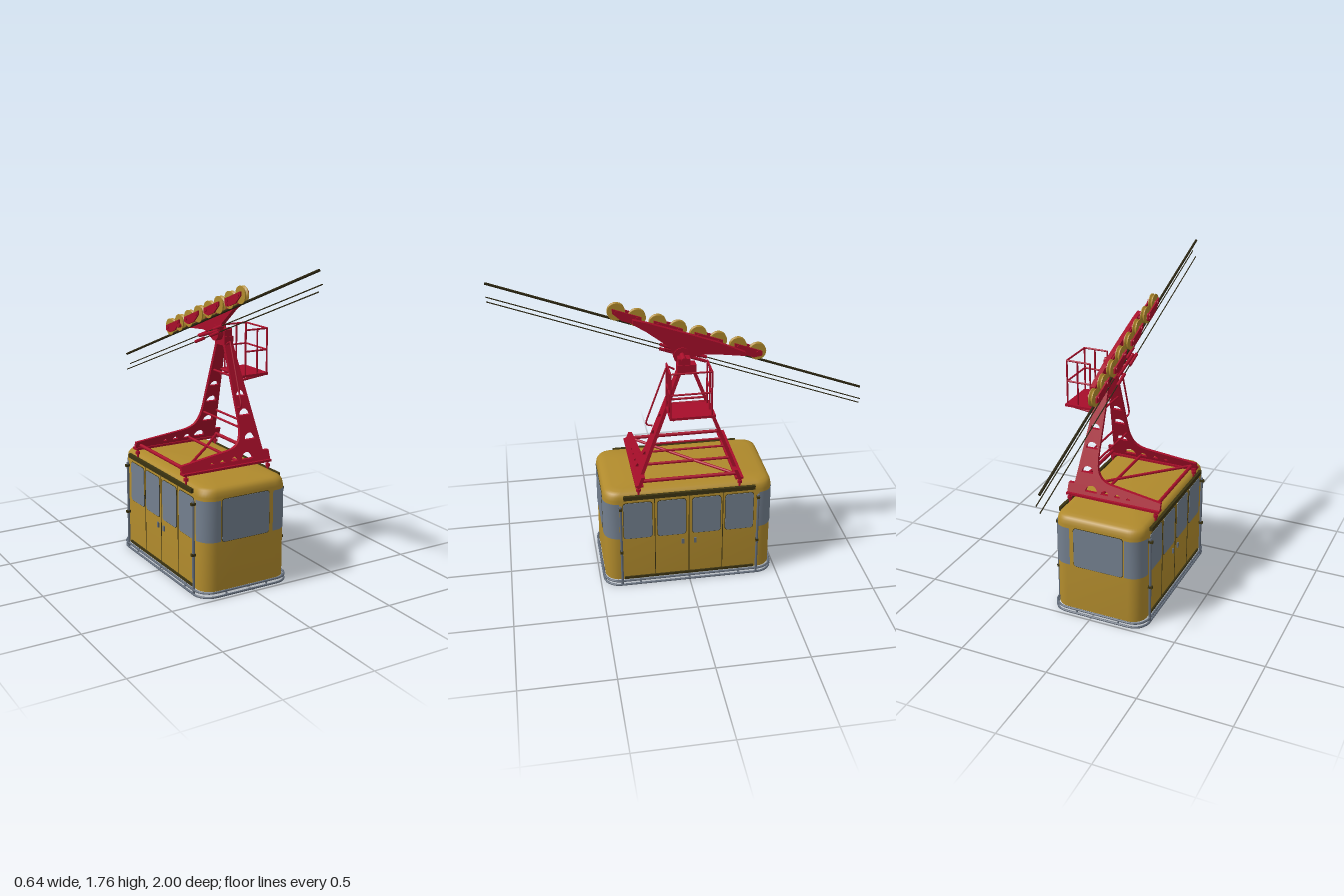
import * as THREE from 'three';
import { toCreasedNormals } from 'three/addons/utils/BufferGeometryUtils.js';

const material = (name, color, side = THREE.FrontSide) => {
  const m = new THREE.MeshStandardMaterial({ color, side });
  m.name = name;
  return m;
};

export function createModel() {
  const root = new THREE.Group();
  root.name = 'cableCar';
  const gold = material('goldPaint', 0xb08a2c);
  const red = material('redPaint', 0xa80e2a);
  const glass = material('windowGlass', 0x737f8e, THREE.DoubleSide);
  const steel = material('steel', 0x626c7a);
  const dark = material('darkTrim', 0x3b3311);
  const rope = material('ropeSteel', 0x2c2610);

  // helpers
  const add = (name, geo, mat) => {
    const m = new THREE.Mesh(geo, mat);
    m.name = name;
    root.add(m);
    return m;
  };
  const box = (name, mat, x0, x1, y0, y1, z0, z1) =>
    add(name, new THREE.BoxGeometry(x1 - x0, y1 - y0, z1 - z0), mat)
      .position.set((x0 + x1) / 2, (y0 + y1) / 2, (z0 + z1) / 2);
  const V = (x, y, z) => new THREE.Vector3(x, y, z);
  const rod = (name, mat, a, b, r, sides = 10) => {
    const m = add(name, new THREE.CylinderGeometry(r, r, a.distanceTo(b), sides), mat);
    m.position.copy(a).lerp(b, 0.5);
    m.quaternion.setFromUnitVectors(V(0, 1, 0), b.clone().sub(a).normalize());
  };
  const tube = (name, mat, pts, r, closed = false) => {
    const path = new THREE.CurvePath();
    const all = closed ? [...pts, pts[0]] : pts;
    for (let i = 1; i < all.length; i++) path.add(new THREE.LineCurve3(all[i - 1], all[i]));
    const curve = new THREE.CatmullRomCurve3(pts, closed, 'catmullrom', 0.05);
    add(name, new THREE.TubeGeometry(curve, pts.length * 6, r, 8, closed), mat);
  };
  const polygon = (pts) => new THREE.Shape(pts.map(([x, y]) => new THREE.Vector2(x, y)));
  // plate outlined in (z, y) and spanning x0..x1
  const plateX = (name, mat, shape, x0, x1) => {
    const g = new THREE.ExtrudeGeometry(shape, { depth: x1 - x0, bevelEnabled: false, curveSegments: 10 });
    add(name, g.rotateY(-Math.PI / 2).translate(x1, 0, 0), mat);
  };
  const pane = (w, h, r, depth) => {
    const s = new THREE.Shape(), a = w / 2 - r, b = h / 2 - r;
    s.absarc(a, b, r, 0, Math.PI / 2);
    s.absarc(-a, b, r, Math.PI / 2, Math.PI);
    s.absarc(-a, -b, r, Math.PI, Math.PI * 1.5);
    s.absarc(a, -b, r, Math.PI * 1.5, Math.PI * 2);
    return new THREE.ExtrudeGeometry(s, { depth, bevelEnabled: false, curveSegments: 5 });
  };

  // cabin shell: rounded rectangle lofted up to a softened roof
  const CX = -0.035, HW = 0.26, HL = 0.47, R = 0.08;
  const outline = (hw, hl, r, n = 8) => {
    const out = [];
    [[1, 1], [-1, 1], [-1, -1], [1, -1]].forEach(([sx, sz], q) => {
      for (let i = 0; i <= n; i++) {
        const a = (q + i / n) * Math.PI / 2;
        out.push([CX + sx * (hw - r) + r * Math.cos(a), sz * (hl - r) + r * Math.sin(a)]);
      }
    });
    return out;
  };
  const rings = [[0.035, 0], [0.55, 0], [0.572, 0.004], [0.587, 0.013], [0.595, 0.028], [0.6, 0.055]]
    .map(([y, i]) => outline(HW - i, HL - i, R - i * 0.4).map(([x, z]) => [x, y, z]));
  const pos = [], n = rings[0].length, top = rings[rings.length - 1];
  for (let j = 0; j < n; j++) {
    const k = (j + 1) % n;
    for (let i = 0; i + 1 < rings.length; i++) {
      const b = rings[i], t = rings[i + 1];
      pos.push(...b[j], ...t[j], ...b[k], ...b[k], ...t[j], ...t[k]);
    }
    pos.push(CX, 0.602, 0, ...top[k], ...top[j], CX, 0.035, 0, ...rings[0][j], ...rings[0][k]);
  }
  const shell = new THREE.BufferGeometry();
  shell.setAttribute('position', new THREE.Float32BufferAttribute(pos, 3));
  add('cabinShell', toCreasedNormals(shell, 0.7), gold);

  // windows with thin dark frames
  const windowAt = (x, y, z, w, h, turn) => {
    for (const [name, mat, grow, d] of [['windowFrame', dark, 0.005, 0.002], ['window', glass, 0, 0.004]]) {
      const m = add(name, pane(w + grow, h + grow, 0.018, d), mat);
      m.position.set(x, y, z);
      m.rotation.y = turn;
    }
  };
  for (const s of [1, -1]) {
    windowAt(CX - 0.008, 0.422, s * HL, 0.288, 0.232, s > 0 ? 0 : Math.PI);
    const side = CX + s * HW;
    for (const z of [0.288, 0.1, -0.095, -0.28]) windowAt(side, 0.42, z, 0.158, 0.228, s * Math.PI / 2);
    // curved corner windows
    for (const t of [1, -1]) {
      const path = [[HW - R - 0.02, HL + 0.003]];
      for (let i = 0; i <= 8; i++) {
        const a = (1 - i / 8) * Math.PI / 2;
        path.push([HW - R + 0.083 * Math.cos(a), HL - R + 0.083 * Math.sin(a)]);
      }
      const p = [], idx = [];
      path.forEach(([x, z], i) => {
        for (const y of [0.308, 0.533]) p.push(CX + s * x, y, t * z);
        if (i) idx.push(2 * i - 2, 2 * i - 1, 2 * i, 2 * i, 2 * i - 1, 2 * i + 1);
      });
      // keep the outward side in front
      if (s * t < 0) idx.reverse();
      const g = new THREE.BufferGeometry();
      g.setAttribute('position', new THREE.Float32BufferAttribute(p, 3));
      g.setIndex(idx);
      g.computeVertexNormals();
      add('cornerWindow', g, glass);
    }
    // door seams, sill, sliding rail and handles
    const strip = (name, mat, d, y0, y1, z0, z1) =>
      box(name, mat, Math.min(side, side + s * d), Math.max(side, side + s * d), y0, y1, z0, z1);
    for (const z of [0.194, 0.003, -0.187]) strip('doorSeam', dark, 0.002, 0.05, 0.55, z - 0.002, z + 0.002);
    strip('doorSill', dark, 0.008, 0.038, 0.052, -0.37, 0.37);
    strip('doorRail', dark, 0.016, 0.56, 0.583, -0.365, 0.365);
    for (const z of [0.038, -0.032]) strip('doorHandle', steel, 0.008, 0.242, 0.272, z - 0.007, z + 0.007);
    // vertical guard posts
    for (const z of [0.383, -0.383]) {
      const x = side + s * 0.013;
      rod('guardPost', steel, V(x, 0.01, z), V(x, 0.525, z), 0.007);
      for (const y of [0.22, 0.5]) box('postBracket', dark, x - 0.014, x + 0.01, y, y + 0.014, z - 0.008, z + 0.008);
    }
  }

  // bumper hoops around the floor and their brackets
  for (const y of [0.007, 0.032])
    tube('bumperHoop', steel, outline(0.275, 0.478, 0.085, 4).map(([x, z]) => V(x, y, z)), 0.006, true);
  for (const s of [1, -1]) {
    for (const z of [-0.28, 0, 0.28]) rod('bumperBracket', steel, V(CX + s * 0.272, 0.007, z), V(CX + s * 0.25, 0.045, z), 0.005);
    for (const x of [-0.16, 0.09]) rod('bumperBracket', steel, V(x, 0.007, s * 0.475), V(x, 0.045, s * 0.46), 0.005);
  }

  // hanger: two leaning pierced frames meeting at the top
  const lean = 0.385, zAt = (y) => 0.275 - (y - 0.635) * lean;
  for (const s of [1, -1]) {
    const f = new THREE.Shape();
    f.moveTo(-0.315, 0.635);
    for (const [x, y] of [[0.23, 0.635], [0.23, 0.69], [0.194, 0.69], [0.128, 1.285], [0.078, 1.285], [0.078, 0.85]]) f.lineTo(x, y);
    f.bezierCurveTo(0.075, 0.75, 0.04, 0.725, -0.02, 0.715);
    f.lineTo(-0.315, 0.678);
    f.closePath();
    for (const [x, y, r] of [[0.12, 0.98, 0.028], [0.123, 0.88, 0.034], [0.128, 0.755, 0.034],
      [0.09, 0.66, 0.035], [0.01, 0.66, 0.022], [-0.065, 0.66, 0.016], [-0.13, 0.66, 0.011]]) {
      const h = new THREE.Path();
      h.absarc(x, y, r, 0, Math.PI);
      h.closePath();
      f.holes.push(h);
    }
    const g = new THREE.ExtrudeGeometry(f, { depth: 0.02, bevelEnabled: false, curveSegments: 10 });
    g.applyMatrix4(new THREE.Matrix4().set(1, 0, 0, 0, 0, 1, 0, 0,
      0, -s * lean, 1, s * (0.275 + 0.635 * lean) - 0.01, 0, 0, 0, 1));
    add('hangerFrame', g, red);
    // lower flange and cabin suspension links
    box('hangerFlange', red, -0.315, 0.23, 0.63, 0.642, s * 0.275 - 0.022, s * 0.275 + 0.022);
    for (const x of [-0.293, 0.215]) {
      rod('suspensionLink', red, V(x, 0.575, s * 0.28), V(x, 0.64, s * 0.28), 0.006);
      rod('suspensionFoot', red, V(x, 0.6, s * 0.28), V(x, 0.615, s * 0.28), 0.013);
    }
  }
  // cross members between the frames
  for (const [x, y, r] of [[0.095, 1.08, 0.006], [0.142, 1.08, 0.006], [0.09, 0.815, 0.006], [0.172, 0.815, 0.006],
    [-0.285, 0.655, 0.01], [0.205, 0.655, 0.01], [0.03, 0.655, 0.008]])
    rod('crossMember', red, V(x, y, -zAt(y)), V(x, y, zAt(y)), r);
  rod('roofBrace', red, V(-0.285, 0.655, 0.26), V(0.03, 0.655, -0.06), 0.008);
  rod('roofBrace', red, V(0.03, 0.655, -0.06), V(0.205, 0.655, -0.25), 0.008);
  box('hangerHead', red, 0.076, 0.132, 1.24, 1.29, -0.05, 0.05);
  tube('ladderRail', red, [V(0.083, 1.25, 0.06), V(0.083, 1.27, 0.1), V(0.083, 0.95, 0.215),
    V(0.083, 0.93, 0.207), V(0.083, 0.925, 0.18)], 0.005);

  // service platform with railing
  box('platformFloor', red, 0.15, 0.315, 1.068, 1.082, -0.12, 0.12);
  for (const z of [-0.1, 0.1]) rod('platformBracket', red, V(0.14, 1.05, z), V(0.31, 1.07, z), 0.007);
  for (const z of [-0.1, 0.115]) {
    for (const x of [0.17, 0.245, 0.308]) rod('railingPost', red, V(x, 1.075, z), V(x, 1.328, z), 0.005);
    for (const y of [1.21, 1.328]) rod('railingBar', red, V(0.17, y, z), V(0.308, y, z), 0.005);
  }
  for (const y of [1.21, 1.328]) rod('railingBar', red, V(0.308, y, -0.1), V(0.308, y, 0.115), 0.005);

  // ropes
  const slope = 0.3675;
  const line = (name, x, y, r) => rod(name, rope, V(x, y - slope, -1), V(x, y + slope, 1), r, 8);
  line('trackRope', -0.002, 1.388, 0.007);
  line('haulRope', 0.018, 1.323, 0.003);
  line('haulRope', -0.002, 1.29, 0.003);

  // carriage wheels riding on the track rope
  const wheelProfile = [[0.008, -0.012], [0.047, -0.012], [0.047, -0.008], [0.039, 0], [0.047, 0.008], [0.047, 0.012], [0.008, 0.012]]
    .map(([x, y]) => new THREE.Vector2(x, y));
  const wheelGeo = toCreasedNormals(new THREE.LatheGeometry(wheelProfile, 24).rotateZ(-Math.PI / 2), 0.6);
  const axleY = (z) => 1.434 + slope * z;
  for (let i = 0; i < 8; i++) {
    const z = 0.35 - i * 0.108, y = axleY(z);
    add('wheel', wheelGeo, gold).position.set(-0.002, y, z);
    rod('axle', red, V(-0.032, y, z), V(0.03, y, z), 0.011);
    // a bogie plate pair carries every two wheels
    if (i % 2 === 0) {
      const at = (dz, dy) => [z + dz, axleY(z + dz) + dy];
      const shape = polygon([at(0.022, 0.014), at(-0.13, 0.014), at(-0.13, -0.012), at(-0.085, -0.036), at(-0.025, -0.036), at(0.022, -0.01)]);
      plateX('bogiePlate', red, shape, 0.016, 0.024);
      plateX('bogiePlate', red, shape, -0.028, -0.02);
    }
  }
  // main carriage beam
  plateX('carriageBeam', red, polygon([[0.27, 1.53], [0.2, 1.51], [0.02, 1.447], [-0.18, 1.373], [-0.33, 1.305], [-0.33, 1.285],
    [-0.2, 1.303], [-0.1, 1.312], [-0.04, 1.3], [-0.015, 1.275], [0.03, 1.272], [0.055, 1.3], [0.08, 1.365], [0.2, 1.46], [0.27, 1.505]]), 0.033, 0.058);
  for (const z of [0.24, -0.28]) rod('bogiePivot', red, V(-0.03, axleY(z) - 0.02, z), V(0.055, axleY(z) - 0.02, z), 0.012);
  // suspension hub
  rod('hubPin', red, V(0.03, 1.32, 0.015), V(0.137, 1.32, 0.015), 0.014, 16);
  rod('hubDisc', red, V(0.03, 1.315, 0.015), V(0.064, 1.315, 0.015), 0.045, 24);
  box('hubLug', red, 0.08, 0.128, 1.28, 1.325, -0.02, 0.045);
  // haul rope grips
  for (const [x, y] of [[0.018, 1.323], [-0.002, 1.29]])
    for (const z of [0.08, -0.08])
      rod('ropeGrip', red, V(x, y + slope * (z - 0.045), z - 0.045), V(x, y + slope * (z + 0.045), z + 0.045), 0.009);
  rod('gripArm', red, V(0.008, 1.34, 0.1), V(0.008, 1.28, -0.1), 0.009);
  rod('gripLink', red, V(0.005, 1.31, 0.0), V(0.045, 1.315, 0.0), 0.01);

  return root;
}
